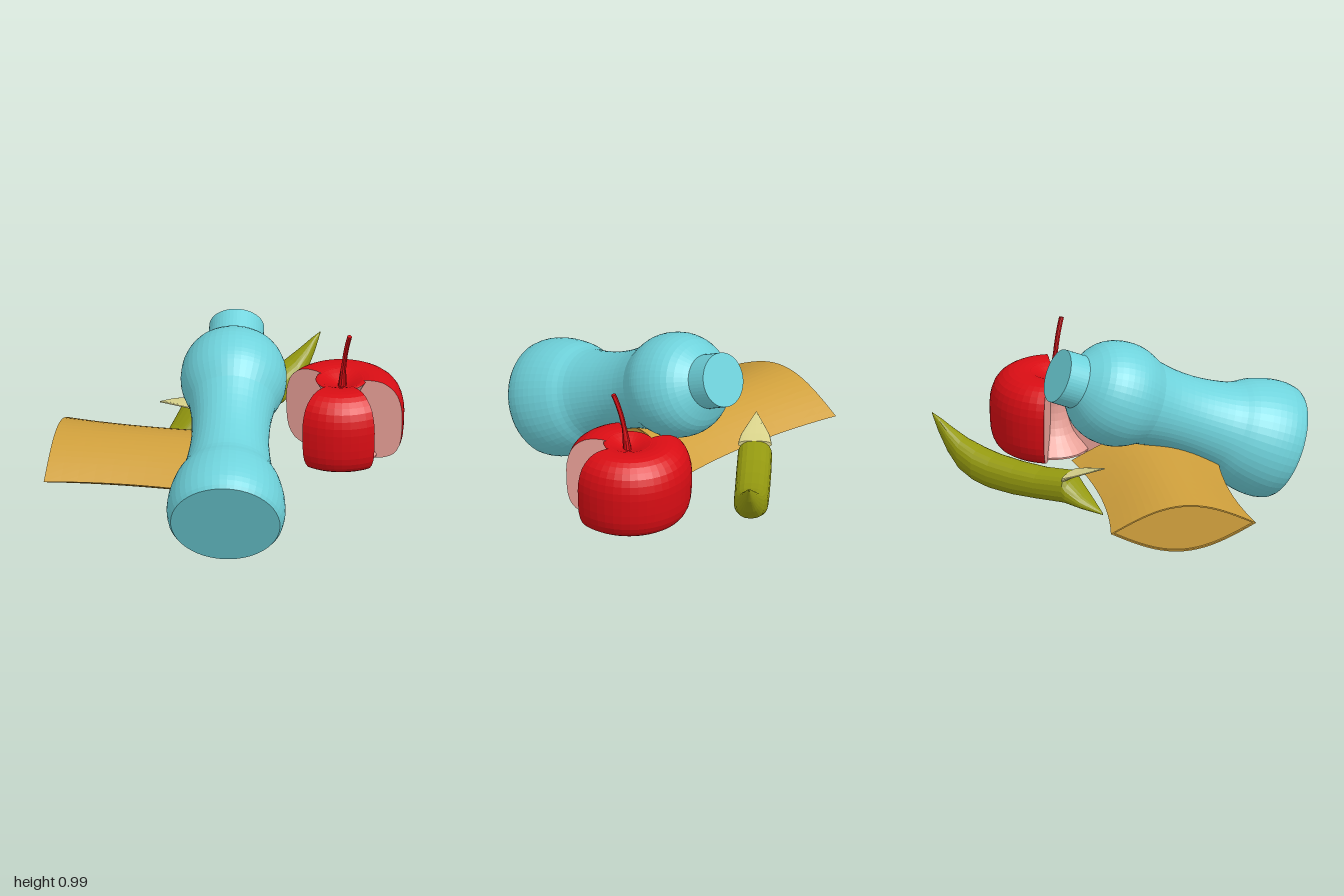
import * as THREE from 'three';

const V = (x, y, z) => new THREE.Vector3(x, y, z);
const mat = (color, flatShading = true) =>
  new THREE.MeshStandardMaterial({ color, flatShading, side: THREE.DoubleSide });

const TEAL = mat(0x6fd3dc), RED = mat(0xd90d14), FLESH = mat(0xe8a097);
const TAN = mat(0xd0a03c), GREEN = mat(0x959a10), CREAM = mat(0xd8d28a);

function add(parent, name, geometry, material) {
  const mesh = new THREE.Mesh(geometry, material);
  mesh.name = name;
  parent.add(mesh);
  return mesh;
}

// Skin through closed rings of equal point count, with a fan cap at both ends.
function loft(rings) {
  const n = rings[0].length, pos = [], idx = [];
  rings.forEach(r => r.forEach(p => pos.push(p.x, p.y, p.z)));
  for (let i = 0; i < rings.length - 1; i++)
    for (let j = 0; j < n; j++) {
      const a = i * n + j, b = i * n + (j + 1) % n;
      idx.push(a, a + n, b, b, a + n, b + n);
    }
  [0, rings.length - 1].forEach(i => {
    const c = rings[i].reduce((s, p) => s.add(p), V(0, 0, 0)).divideScalar(n);
    const k = pos.length / 3;
    pos.push(c.x, c.y, c.z);
    for (let j = 0; j < n; j++) {
      const a = i * n + j, b = i * n + (j + 1) % n;
      if (i) idx.push(k, b, a); else idx.push(k, a, b);
    }
  });
  const g = new THREE.BufferGeometry();
  g.setAttribute('position', new THREE.Float32BufferAttribute(pos, 3));
  g.setIndex(idx);
  g.computeVertexNormals();
  return g;
}

const curve2 = (pts, n) => new THREE.SplineCurve(pts.map(p => new THREE.Vector2(...p))).getPoints(n);

// Bottle lying on a slant: flared base, waist, round shoulder, short neck
function makeBottle() {
  const g = new THREE.Group();
  g.name = 'bottle';
  const body = curve2([[0.308, 0], [0.325, 0.08], [0.318, 0.18], [0.288, 0.29], [0.245, 0.38],
    [0.222, 0.5], [0.213, 0.62], [0.219, 0.75], [0.238, 0.86]], 24);
  const shoulder = curve2([[0.262, 0.91], [0.283, 0.97], [0.29, 1.04], [0.278, 1.13],
    [0.235, 1.215], [0.15, 1.29]], 14);
  const P = (r, y) => new THREE.Vector2(r, y);
  const profile = [P(0, 0), P(0.3, 0), ...body.slice(1), ...shoulder, P(0.15, 1.41), P(0, 1.41)];
  add(g, 'bottleBody', new THREE.LatheGeometry(profile, 48), TEAL);
  g.position.set(-0.53, 0.29, 0.67);
  g.quaternion.setFromUnitVectors(V(0, 1, 0), V(0.588, 0.404, -0.701).normalize());
  return g;
}

// Flattened packet: a lens-shaped tube, slightly pinched in the middle
function makePacket() {
  const L = 0.54, rings = [];
  const ring = (z, half, h) => Array.from({ length: 40 }, (_, i) => {
    const s = i < 20 ? 1 : -1, w = s * (1 - (i % 20) / 10);
    return V(w * half, s * h * Math.cos(w * Math.PI / 2), z);
  });
  for (let i = 0; i <= 12; i++) {
    const t = i / 6 - 1;
    rings.push(ring(t * L, 0.355 + 0.05 * t * t, 0.135));
  }
  // thin rim with a slightly sunken end
  rings.unshift(ring(-L + 0.01, 0.385, 0.125), ring(-L, 0.39, 0.127));
  rings.push(ring(L, 0.39, 0.127), ring(L - 0.01, 0.385, 0.125));
  const g = new THREE.Group();
  g.name = 'packet';
  add(g, 'packetShell', loft(rings), TAN);
  g.position.set(-0.33, 0.28, -0.2375);
  g.rotation.y = Math.atan2(0.676, 0.737);
  return g;
}

// Curved peel: sections are [x, bottom, top, half width]
function makePeel() {
  const ring = ([x, b, t, w]) => Array.from({ length: 20 }, (_, i) => {
    const a = i / 20 * Math.PI * 2, c = Math.cos(a), s = Math.sin(a);
    return V(x, (b + t) / 2 + (t - b) / 2 * Math.sign(s) * Math.abs(s) ** 0.85,
      -0.485 + w * Math.sign(c) * Math.abs(c) ** 0.75);
  });
  const g = new THREE.Group();
  g.name = 'peel';
  add(g, 'peelBody', loft([[1, 0.548, 0.555, 0.002], [0.95, 0.45, 0.53, 0.022], [0.88, 0.35, 0.485, 0.05],
    [0.8, 0.27, 0.44, 0.076], [0.7, 0.225, 0.405, 0.094], [0.6, 0.202, 0.385, 0.096],
    [0.45, 0.195, 0.372, 0.096], [0.3, 0.203, 0.37, 0.096], [0.12, 0.215, 0.39, 0.094],
    [0.1, 0.215, 0.35, 0.092], [0.02, 0.2, 0.27, 0.065], [-0.09, 0.178, 0.188, 0.003]].map(ring)), GREEN);
  add(g, 'peelFlap', loft([[0.12, 0.35, 0.391, 0.093], [0.06, 0.385, 0.405, 0.08],
    [0, 0.41, 0.425, 0.052], [-0.1, 0.45, 0.458, 0.002]].map(ring)), CREAM);
  return g;
}

// Apple with two wedges eaten away down to the core
function makeApple() {
  const g = new THREE.Group(), rad = THREE.MathUtils.degToRad;
  g.name = 'apple';
  const skin = curve2([[0, 0.215], [0.1, 0.192], [0.17, 0.18], [0.24, 0.19], [0.3, 0.222], [0.335, 0.29],
    [0.345, 0.4], [0.342, 0.5], [0.312, 0.585], [0.25, 0.636], [0.18, 0.648], [0.12, 0.64],
    [0.06, 0.615], [0, 0.59]], 30);
  skin.forEach(p => { p.x = Math.max(p.x, 0); });
  [[38, 203], [285, 355]].forEach(([a, b]) => {
    add(g, 'appleSkin', new THREE.LatheGeometry(skin, Math.round((b - a) / 8), rad(a), rad(b - a)), RED);
    [a, b].forEach(deg => {
      add(g, 'biteWall', new THREE.ShapeGeometry(new THREE.Shape(skin)), FLESH).rotation.y = rad(deg - 90);
    });
  });
  // core, flaring towards both ends, with skin left on its top
  const core = curve2([[0, 0.2], [0.12, 0.19], [0.2, 0.195], [0.18, 0.23], [0.12, 0.3], [0.085, 0.4],
    [0.085, 0.5], [0.11, 0.58], [0.14, 0.635]], 20);
  core.forEach(p => { p.x = Math.max(p.x, 0); });
  add(g, 'core', new THREE.LatheGeometry(core, 28), FLESH);
  add(g, 'coreTop', new THREE.LatheGeometry(
    curve2([[0.14, 0.635], [0.12, 0.641], [0.06, 0.616], [0, 0.592]], 6), 28), RED);
  // bent stem
  const path = new THREE.QuadraticBezierCurve3(V(0, 0.58, 0.01), V(0, 0.78, 0.02), V(-0.005, 0.93, 0.085));
  const rings = path.getPoints(10).map((p, i) => Array.from({ length: 10 }, (_, j) => {
    const a = j / 10 * Math.PI * 2, r = 0.013 + 0.012 * Math.max(0, 1 - i / 4);
    return V(p.x + r * Math.cos(a), p.y - 0.3 * r * Math.sin(a), p.z + r * Math.sin(a));
  }));
  add(g, 'stem', loft(rings), RED);
  g.position.set(0.633, 0, 0.185);
  return g;
}

export function createModel() {
  const model = new THREE.Group();
  model.name = 'litter';
  model.add(makeBottle(), makePacket(), makePeel(), makeApple());
  return model;
}
